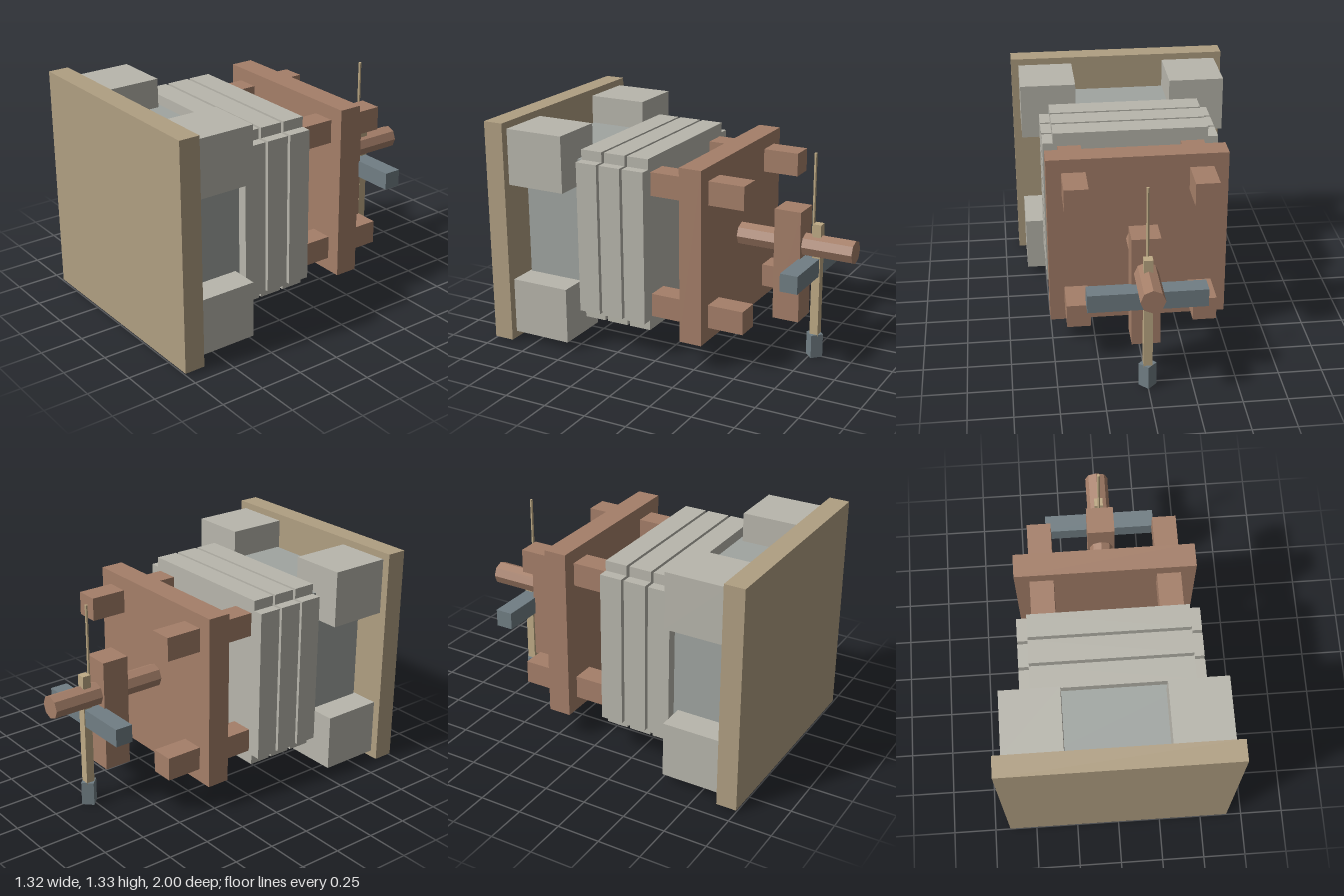
import * as THREE from 'three';

export function createModel() {
  const model = new THREE.Group();
  const mat = (color) => new THREE.MeshStandardMaterial({ color, flatShading: true });
  const tan = mat(0xb09f82), stone = mat(0xb8b6ac), core = mat(0xa0a5a1);
  const wood = mat(0xa57f69), iron = mat(0x717e84), pale = mat(0xbfab86);

  const add = (name, geometry, material) => {
    const mesh = new THREE.Mesh(geometry, material);
    mesh.name = name;
    model.add(mesh);
    return mesh;
  };
  // Box given by its extents on each axis
  const box = (name, material, [x0, x1], [y0, y1], [z0, z1]) => {
    const mesh = add(name, new THREE.BoxGeometry(x1 - x0, y1 - y0, z1 - z0), material);
    mesh.position.set((x0 + x1) / 2, (y0 + y1) / 2, (z0 + z1) / 2);
    return mesh;
  };
  const midY = 0.67;

  // Front board and the block behind it
  box('frontPanel', tan, [-0.66, 0.66], [0.01, 1.33], [0.88, 1]);
  box('core', core, [-0.45, 0.45], [0.22, 1.12], [0.49, 0.87]);

  // Four corner blocks and four long pegs
  for (const sx of [-1, 1]) {
    for (const sy of [-1, 1]) {
      const block = add('cornerBlock', new THREE.BoxGeometry(0.33, 0.33, 0.36), stone);
      block.position.set(sx * 0.45, midY + sy * 0.455, 0.7);
      const peg = add('peg', new THREE.BoxGeometry(0.135, 0.137, 0.575), wood);
      peg.position.set(sx * 0.358, midY + sy * 0.362, -0.2275);
    }
  }

  // Plates with notched corners
  const a = 0.51, b = 0.45;
  const outline = new THREE.Shape([
    [b, a], [-b, a], [-b, b], [-a, b], [-a, -b], [-b, -b],
    [-b, -a], [b, -a], [b, -b], [a, -b], [a, b], [b, b],
  ].map(([x, y]) => new THREE.Vector2(x, y)));
  const plateGeometry = new THREE.ExtrudeGeometry(outline, { depth: 0.133, bevelEnabled: false });
  for (const z of [0.06, 0.21, 0.36]) {
    add('notchedPlate', plateGeometry, stone).position.set(0, midY, z);
  }

  // Rear plate, octagonal shaft and its upright
  box('rearPlate', wood, [-0.51, 0.51], [0.16, 1.18], [-0.3, -0.165]);
  const shaft = add('shaft', new THREE.CylinderGeometry(0.068, 0.068, 0.7, 8), wood);
  shaft.rotation.x = Math.PI / 2;
  shaft.position.set(0, 0.672, -0.65);
  box('upright', wood, [-0.08, 0.08], [0.22, 0.88], [-0.7, -0.54]);

  // Cross bar, hanging lever with a diamond-section foot, and thin rod
  box('crossBar', iron, [-0.33, 0.33], [0.5, 0.605], [-0.795, -0.69]);
  box('lever', pale, [-0.025, 0.025], [0.13, 0.805], [-0.8, -0.75]);
  add('leverFoot', new THREE.CylinderGeometry(0.051, 0.051, 0.14, 4), iron).position.set(0, 0.07, -0.773);
  add('thinRod', new THREE.CylinderGeometry(0.009, 0.009, 0.54, 6), pale).position.set(0, 0.94, -0.745);

  return model;
}
